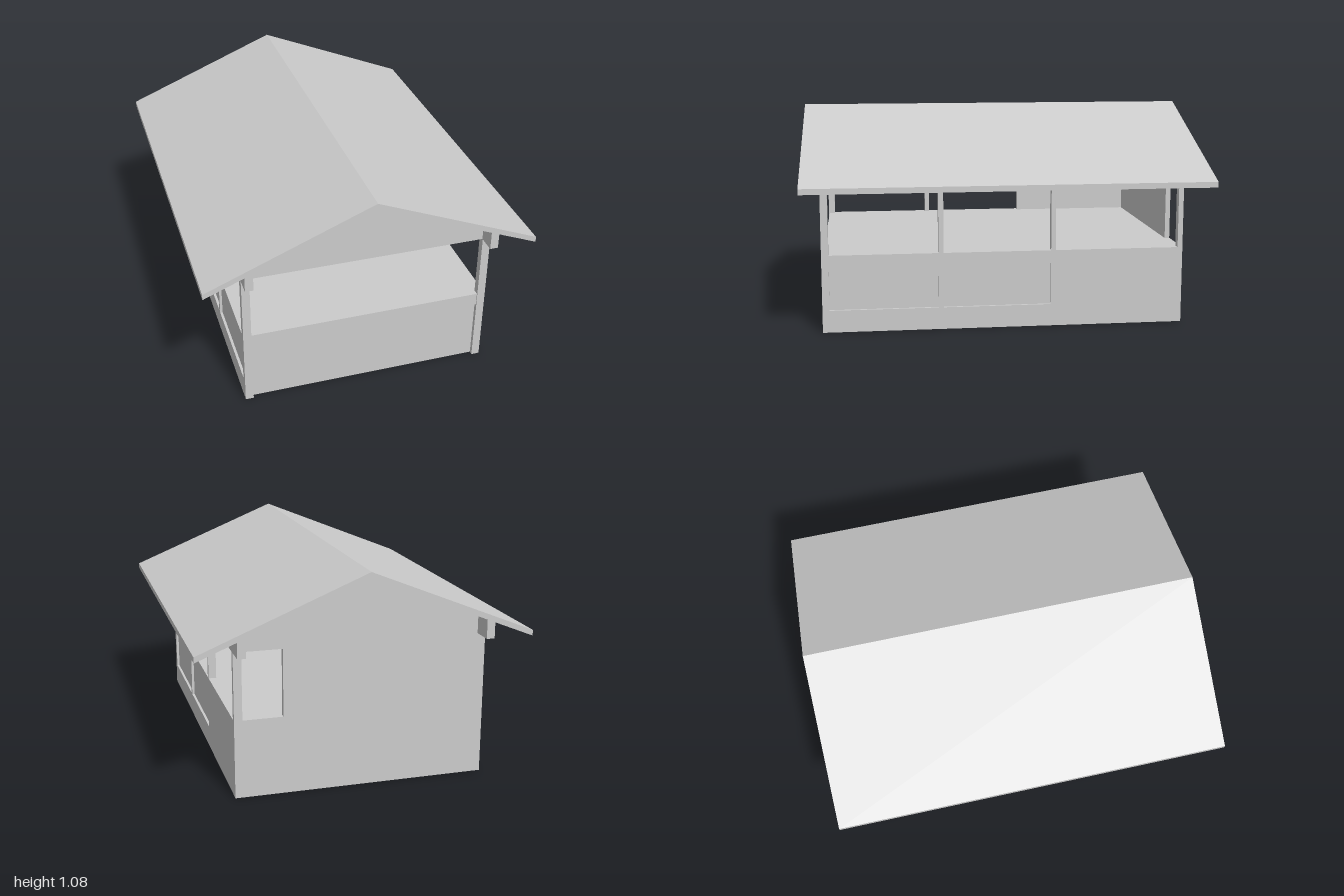
import * as THREE from 'three';

const mat = new THREE.MeshStandardMaterial({ color: 0xcccccc, flatShading: true });

// Main dimensions
const W = 0.62, IN = 0.58;            // outer and inner half width
const FRONT = 0.91, BACK = -0.89;     // wall planes
const SILL = 0.385, HEAD = 0.715;     // opening bottom and top
const EAVE = 0.815, RIDGE = 1.045;    // roof underside
const underRoof = (x) => RIDGE - Math.abs(x) * (RIDGE - HEAD) / EAVE;

export function createModel() {
  const model = new THREE.Group();

  function add(name, geometry) {
    const mesh = new THREE.Mesh(geometry, mat);
    mesh.name = name;
    model.add(mesh);
    return mesh;
  }
  // Box given by its low and high limits on each axis
  function box(name, x0, x1, y0, y1, z0, z1) {
    const g = new THREE.BoxGeometry(x1 - x0, y1 - y0, z1 - z0);
    g.translate((x0 + x1) / 2, (y0 + y1) / 2, (z0 + z1) / 2);
    return add(name, g);
  }
  function polygon(points) {
    return new THREE.Shape(points.map(([x, y]) => new THREE.Vector2(x, y)));
  }
  const rect = (a0, a1, b0, b1) => [[a0, b0], [a1, b0], [a1, b1], [a0, b1]];
  // Outline in x, y pushed from z0 to z1
  function slab(name, shape, z0, z1) {
    const g = new THREE.ExtrudeGeometry(shape, { depth: z1 - z0, bevelEnabled: false });
    g.translate(0, 0, z0);
    return add(name, g);
  }

  // Pitched roof with plumb-cut eaves
  slab('roof', polygon([
    [-EAVE, HEAD], [0, RIDGE], [EAVE, HEAD],
    [EAVE, 0.743], [0, 1.075], [-EAVE, 0.743],
  ]), -1, 1);

  // Back wall with gable and one window
  const backShape = polygon([
    [-W, 0], [W, 0], [W, underRoof(W)], [0, RIDGE], [-W, underRoof(W)],
  ]);
  backShape.holes.push(polygon(rect(0.385, IN, SILL, HEAD)));
  slab('backWall', backShape, BACK, BACK + 0.025);

  // Front gable above the opening
  slab('frontGable', polygon([
    [-IN, HEAD], [IN, HEAD], [IN, underRoof(IN)], [0, RIDGE], [-IN, underRoof(IN)],
  ]), 0.88, 0.905);

  // Front counter rail and recessed panel
  box('frontRail', -IN, IN, 0.32, SILL, 0.875, 0.905);
  box('frontPanel', -IN, IN, 0, 0.32, 0.875, 0.89);

  // Raised interior deck at sill height
  box('deck', -IN, IN, SILL - 0.012, SILL, BACK + 0.025, 0.875);

  for (const s of [-1, 1]) {
    const side = s > 0 ? 'left' : 'right';
    const x0 = s > 0 ? IN : -W, x1 = s > 0 ? W : -IN;

    // Low side wall with two panel openings
    const panels = [[0.34, 0.875], [s > 0 ? -0.22 : 0.09, 0.315]];
    const wall = polygon(rect(BACK, FRONT, 0, SILL));
    for (const [z0, z1] of panels) {
      wall.holes.push(polygon(rect(z0, z1, 0.11, 0.32)));
      // Thin infill set back from both faces
      box(side + 'InfillPanel', x0 + 0.013, x1 - 0.013, 0.11, 0.32, z0, z1);
    }
    const g = new THREE.ExtrudeGeometry(wall, { depth: x1 - x0, bevelEnabled: false });
    g.rotateY(-Math.PI / 2);
    g.translate(x1, 0, 0);
    add(side + 'LowWall', g);

    // Posts between the openings
    for (const [z0, z1] of [[0.875, FRONT], [0.315, 0.34], [-0.243, -0.22], [BACK, BACK + 0.025]]) {
      box(side + 'Post', x0, x1, SILL, HEAD, z0, z1);
    }

    // The right rear bay is closed
    if (s < 0) box('rightUpperWall', x0, x1, SILL, HEAD, BACK, -0.22);

    // Eaves beam running out to the roof ends
    slab(side + 'EavesBeam', polygon([
      [s * IN, HEAD], [s * W, HEAD], [s * W, underRoof(W)], [s * IN, underRoof(IN)],
    ]), -0.995, 0.995);
  }

  return model;
}
